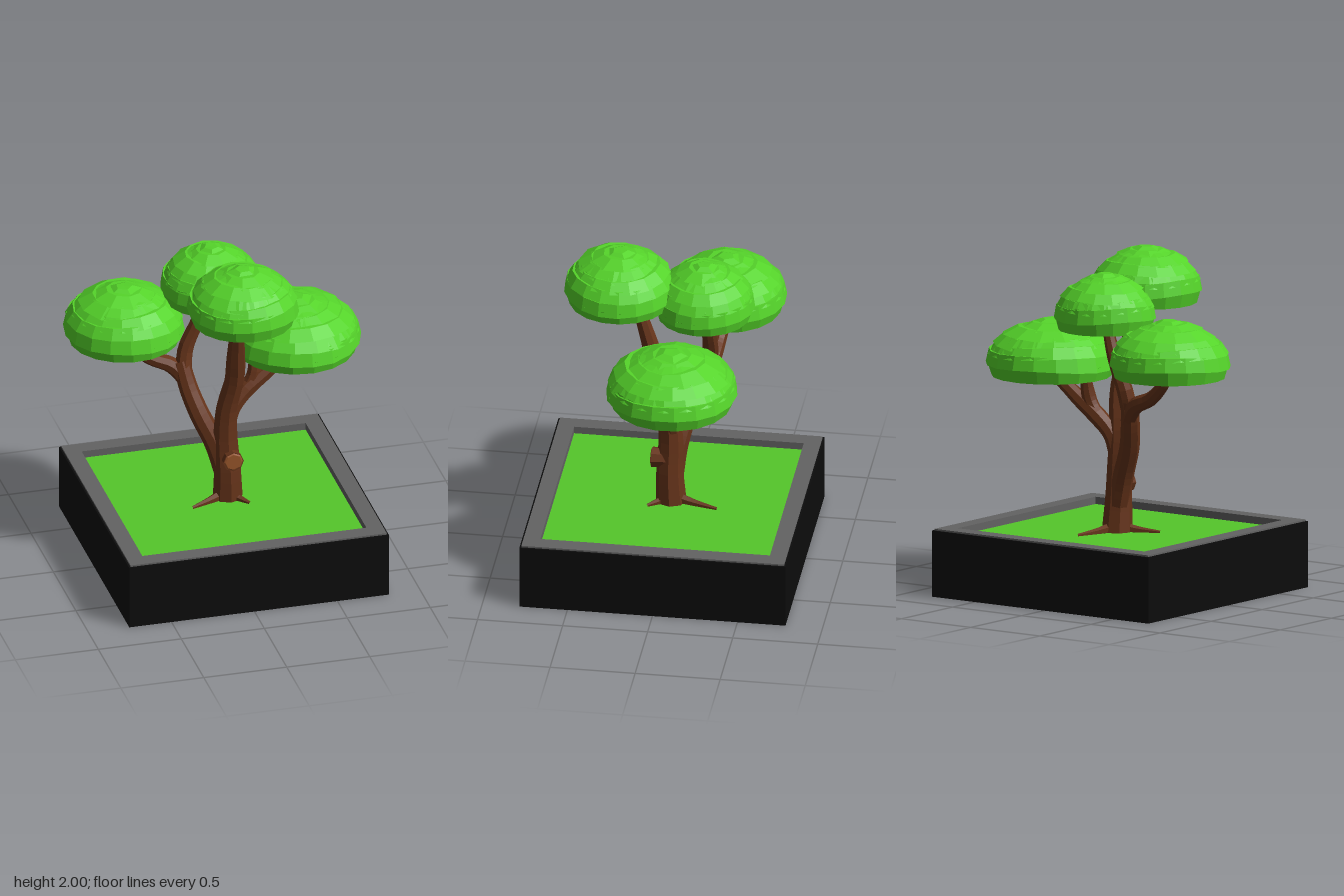
import * as THREE from 'three';

const paint = (color, flatShading = true) => {
  const m = new THREE.MeshStandardMaterial({ flatShading });
  m.color.set(color);
  return m;
};
const leaf = paint(0x55d42a), grass = paint(0x55c72a), bark = paint(0x66341a);
const cutWood = paint(0x95542a), black = paint(0x0c0c0c), grey = paint(0x636363);

function add(parent, name, geometry, material, x = 0, y = 0, z = 0) {
  const mesh = new THREE.Mesh(geometry, material);
  mesh.name = name;
  mesh.position.set(x, y, z);
  parent.add(mesh);
  return mesh;
}

// Tube along a smooth curve, its radius following a list of values
function limb(points, radii, sides = 8) {
  const curve = new THREE.CatmullRomCurve3(points.map(p => new THREE.Vector3(...p)));
  const steps = points.length * 3;
  const geo = new THREE.TubeGeometry(curve, steps, 1, sides, false);
  const pos = geo.attributes.position, v = new THREE.Vector3();
  for (let i = 0; i < pos.count; i++) {
    const t = Math.floor(i / (sides + 1)) / steps;
    const k = t * (radii.length - 1), a = Math.min(Math.floor(k), radii.length - 2);
    const r = THREE.MathUtils.lerp(radii[a], radii[a + 1], k - a);
    const c = curve.getPointAt(t);
    v.fromBufferAttribute(pos, i).sub(c).multiplyScalar(r).add(c);
    pos.setXYZ(i, v.x, v.y, v.z);
  }
  return geo;
}

// Square frame lying flat, extruded upwards
function frame(outer, inner, height) {
  const square = (path, h) => path.moveTo(-h, -h).lineTo(h, -h).lineTo(h, h).lineTo(-h, h).closePath();
  const shape = square(new THREE.Shape(), outer);
  shape.holes.push(square(new THREE.Path(), inner));
  return new THREE.ExtrudeGeometry(shape, { depth: height, bevelEnabled: false }).rotateX(-Math.PI / 2);
}

// Leaf layers: bottom, top, bottom radius, top radius, sides
const LAYERS = [
  [0, 0.25, 0.91, 0.98, 18], [0.2, 0.45, 1.0, 0.95, 18], [0.41, 0.6, 0.97, 0.85, 17],
  [0.57, 0.74, 0.89, 0.72, 15], [0.71, 0.86, 0.76, 0.52, 12], [0.83, 0.95, 0.56, 0.3, 9],
  [0.92, 1.0, 0.33, 0.14, 5],
];

function canopy(name, x, y, z, r, h, seed) {
  const g = new THREE.Group();
  g.name = name;
  g.position.set(x, y, z);
  // solid core behind the overlapping layers
  const core = [[0, 0.01], [0.88, 0.01], [0.95, 0.3], [0.92, 0.46], [0.82, 0.6], [0.69, 0.74], [0.49, 0.86], [0.26, 0.94], [0, 0.96]];
  add(g, 'canopyCore', new THREE.LatheGeometry(core.map(([a, b]) => new THREE.Vector2(a * r, b * h)), 18), leaf);
  LAYERS.forEach(([y0, y1, r0, r1, n], i) => {
    const geo = new THREE.CylinderGeometry(r1 * r, r0 * r, (y1 - y0) * h, n);
    geo.rotateY(seed + i * 1.7);
    const pos = geo.attributes.position;
    // uneven, slightly tilted edges
    if (i > 0) for (let k = 0; k < pos.count; k++) {
      const px = pos.getX(k), pz = pos.getZ(k), a = Math.atan2(pz, px), d = Math.hypot(px, pz) / r;
      pos.setY(k, pos.getY(k) + d * h * (0.03 * Math.sin(a + seed + i * 2.1) + 0.02 * Math.sin(3 * a + i + seed)));
    }
    add(g, 'leafLayer', geo, leaf, 0, (y0 + y1) / 2 * h, 0);
  });
  return g;
}

export function createModel() {
  const model = new THREE.Group();
  model.name = 'treeInPlanter';

  // Planter
  const planter = new THREE.Group();
  planter.name = 'planter';
  planter.position.x = 0.028;
  model.add(planter);
  add(planter, 'planterBody', new THREE.BoxGeometry(1.565, 0.34, 1.565), black, 0, 0.17, 0);
  add(planter, 'planterEdge', frame(0.7825, 0.7, 0.05), black, 0, 0.34, 0);
  add(planter, 'planterRim', frame(0.772, 0.675, 0.06), grey, 0, 0.34, 0);
  add(planter, 'grass', new THREE.BoxGeometry(1.35, 0.03, 1.35), grass, 0, 0.342, 0);

  // Trunk and branches
  const tree = new THREE.Group();
  tree.name = 'trunkAndBranches';
  model.add(tree);
  const limbs = {
    trunk: [[[0.05, 0.35, 0], [0.045, 0.55, 0.01], [0.035, 0.75, 0.005], [0.04, 0.95, 0.02], [0.075, 1.15, 0.06],
      [0.07, 1.35, 0.11], [0.055, 1.72, 0.22]], [0.09, 0.078, 0.07, 0.062, 0.058, 0.045, 0.028]],
    leftStem: [[[0.03, 0.52, -0.01], [-0.02, 0.7, -0.03], [-0.1, 0.88, -0.08], [-0.15, 1.03, -0.14], [-0.18, 1.18, -0.19]],
      [0.06, 0.062, 0.06, 0.056, 0.05]],
    leftBranch: [[[-0.14, 1.04, -0.15], [-0.23, 1.15, -0.2], [-0.36, 1.21, -0.22], [-0.46, 1.3, -0.24], [-0.53, 1.4, -0.25]],
      [0.045, 0.05, 0.043, 0.038, 0.025]],
    backBranch: [[[-0.17, 1.1, -0.17], [-0.15, 1.25, -0.2], [-0.08, 1.42, -0.2], [-0.01, 1.64, -0.19]],
      [0.05, 0.047, 0.04, 0.028]],
    rightStem: [[[0.05, 0.8, 0], [0.085, 0.93, -0.01], [0.17, 1.03, -0.03], [0.29, 1.12, -0.04], [0.39, 1.2, -0.05], [0.52, 1.29, -0.06]],
      [0.045, 0.05, 0.055, 0.048, 0.04, 0.028]],
    rightTwig: [[[0.17, 1.03, -0.03], [0.22, 1.13, -0.04], [0.23, 1.29, -0.07]], [0.04, 0.043, 0.028]],
  };
  for (const [name, [points, radii]] of Object.entries(limbs)) add(tree, name, limb(points, radii), bark);

  // Roots on the grass
  for (const [dx, dz] of [[-0.24, 0.1], [0.08, -0.28], [0.1, 0.13]]) {
    add(tree, 'root', limb([[0.05, 0.385, 0], [0.05 + dx * 0.5, 0.368, dz * 0.5], [0.05 + dx, 0.36, dz]],
      [0.04, 0.022, 0.01], 6), bark);
  }

  // Sawn-off branch stub
  const stub = add(tree, 'branchStub', new THREE.CylinderGeometry(0.062, 0.055, 0.09, 8), bark, 0.055, 0.635, 0.068);
  stub.rotation.x = Math.PI / 2;
  const cut = add(tree, 'branchStubCut', new THREE.CylinderGeometry(0.048, 0.062, 0.008, 8), cutWood, 0.055, 0.635, 0.114);
  cut.rotation.x = Math.PI / 2;

  // Canopies
  model.add(
    canopy('leftCanopy', 0.475, 1.245, -0.065, 0.385, 0.335, 0.4),
    canopy('rightCanopy', -0.51, 1.355, -0.24, 0.355, 0.335, 1.3),
    canopy('backCanopy', 0, 1.58, -0.185, 0.298, 0.33, 2.2),
    canopy('frontCanopy', 0.06, 1.67, 0.3, 0.328, 0.33, 3.1),
  );
  return model;
}
